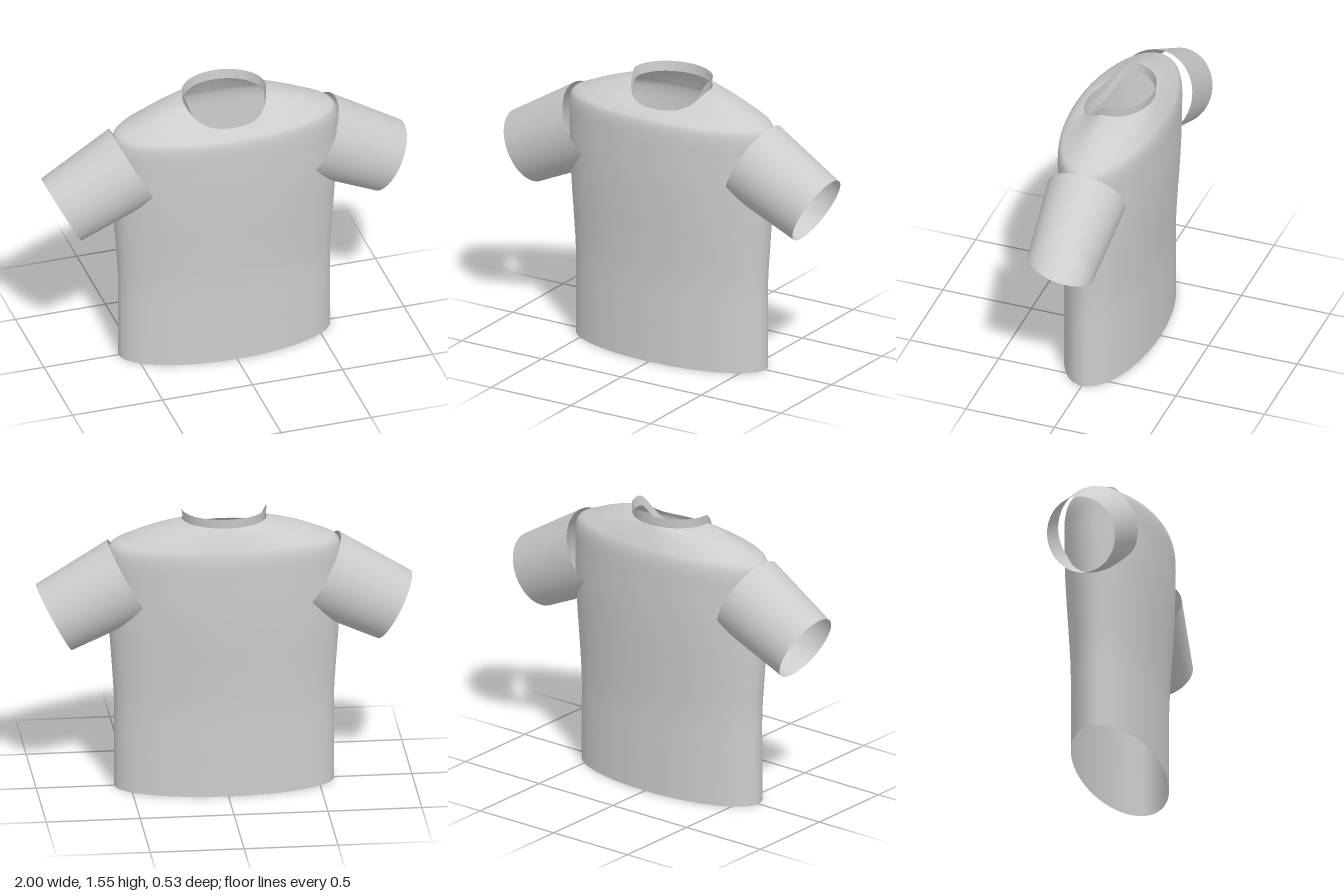
import * as THREE from 'three';

const SEG = 96;

// Skin through stacked elliptical rings; each ring is (rx, y, rz), dip(y, s) lowers points, s = sine towards the front
function loft(rings, steps, dip = () => 0) {
  const curve = new THREE.CatmullRomCurve3(rings.map(r => new THREE.Vector3(...r)), false, 'centripetal');
  const pos = [], index = [];
  for (let i = 0; i <= steps; i++) {
    const r = curve.getPoint(i / steps);
    for (let j = 0; j < SEG; j++) {
      const a = (j / SEG) * Math.PI * 2;
      const s = Math.sin(a);
      pos.push(r.x * Math.cos(a), r.y - dip(r.y, s), r.z * s);
      if (i === steps) continue;
      const p = i * SEG + j, q = i * SEG + (j + 1) % SEG;
      index.push(p, p + SEG, q, q, p + SEG, q + SEG);
    }
  }
  const g = new THREE.BufferGeometry();
  g.setAttribute('position', new THREE.Float32BufferAttribute(pos, 3));
  g.setIndex(index);
  g.computeVertexNormals();
  return g;
}

const frontEase = s => THREE.MathUtils.smoothstep(s, 0, 1);

export function createModel() {
  const model = new THREE.Group();
  model.name = 'shirt';
  const fabric = new THREE.MeshStandardMaterial({ color: 0xcccccc, side: THREE.DoubleSide });
  fabric.name = 'light grey fabric';

  const add = (parent, name, geometry) => {
    const mesh = new THREE.Mesh(geometry, fabric);
    mesh.name = name;
    parent.add(mesh);
    return mesh;
  };

  // Body: open hem, slight flare to the chest, rounded shoulders, neckline dipping at the front
  add(model, 'body', loft([
    [0.585, 0, 0.23], [0.585, 0.25, 0.23], [0.585, 0.48, 0.231],
    [0.597, 0.68, 0.241], [0.61, 0.87, 0.253], [0.618, 1.05, 0.262],
    [0.62, 1.2, 0.265], [0.62, 1.32, 0.265], [0.602, 1.37, 0.258],
    [0.52, 1.412, 0.24], [0.41, 1.457, 0.216], [0.3, 1.49, 0.197], [0.226, 1.505, 0.187],
  ], 96, (y, s) => 0.085 * Math.pow(Math.max(0, (y - 1.35) / 0.155), 1.5) * frontEase(s)));

  // Collar: thin band that sinks below the neckline at the front
  add(model, 'collar', loft([
    [0.219, 1.5, 0.184], [0.226, 1.555, 0.189],
  ], 4, (y, s) => 0.195 * frontEase(s)));

  // Sleeves: tapered open tubes pointing out and down
  const inner = new THREE.Vector2(0.512, 1.177), outer = new THREE.Vector2(0.905, 0.968);
  const axis = outer.clone().sub(inner);
  const sleeve = loft([[0.23, 0, 0.215], [0.202, axis.length(), 0.184]], 8);
  for (const side of ['left', 'right']) {
    const arm = new THREE.Group();
    arm.name = side + 'Arm';
    if (side === 'right') arm.rotation.y = Math.PI;
    const mesh = add(arm, side + 'Sleeve', sleeve);
    mesh.position.set(inner.x, inner.y, 0);
    mesh.rotation.z = Math.atan2(-axis.x, axis.y);
    model.add(arm);
  }
  return model;
}
